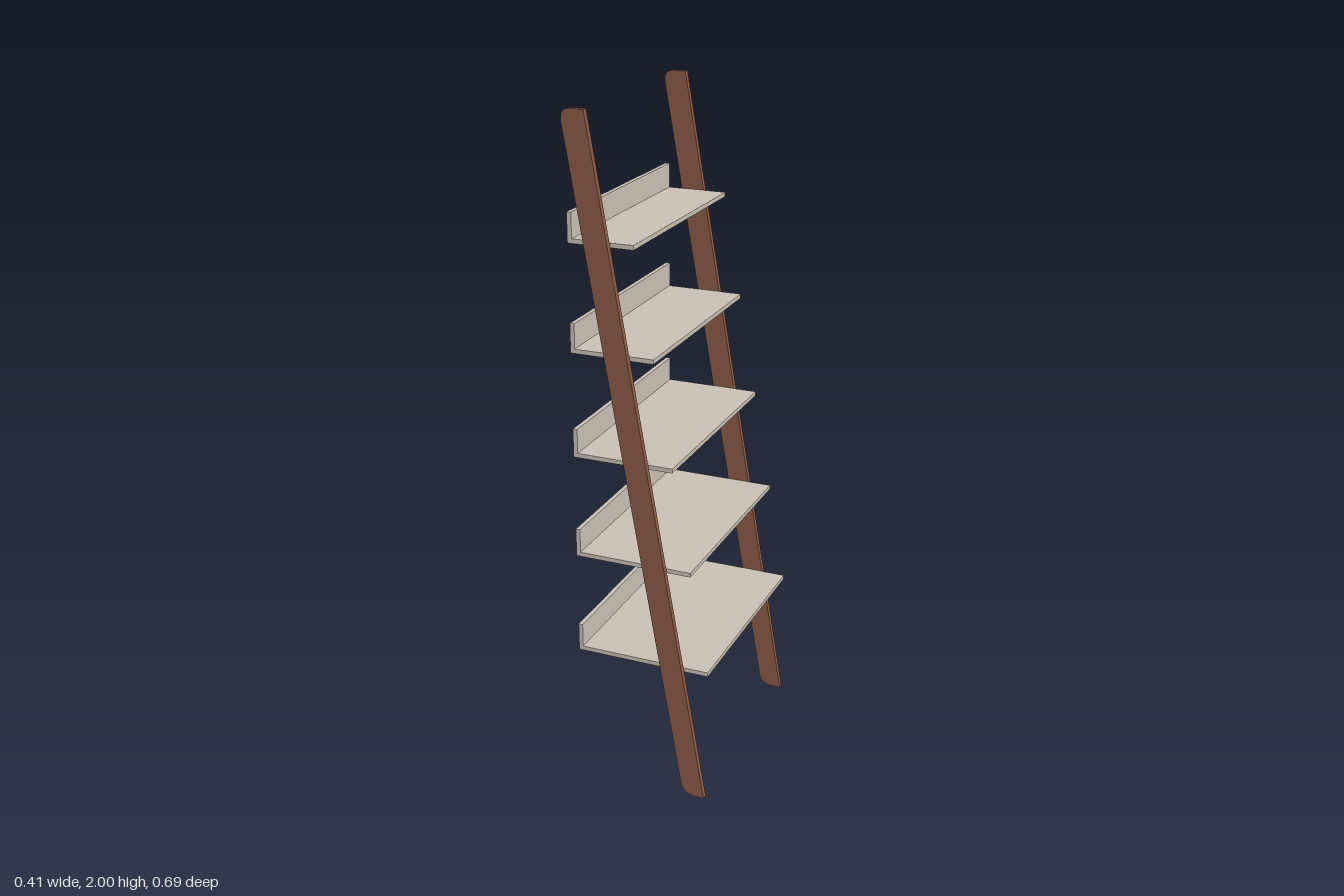
import * as THREE from 'three';

const wood = new THREE.MeshStandardMaterial({ color: 0x8a5a44 });
const board = new THREE.MeshStandardMaterial({ color: 0xc9c1b4 });

// Extrude an x-y outline along z, from z0 to z1
function slab(name, shape, z0, z1, material) {
  const geometry = new THREE.ExtrudeGeometry(shape, { depth: z1 - z0, bevelEnabled: false, curveSegments: 6 });
  geometry.translate(0, 0, z0);
  const mesh = new THREE.Mesh(geometry, material);
  mesh.name = name;
  return mesh;
}

// Leaning rail outline, level at both ends with one eased corner each
function railShape() {
  const s = new THREE.Shape();
  s.moveTo(0.2, 0);
  s.lineTo(-0.14, 2);
  s.lineTo(-0.18, 2);
  s.quadraticCurveTo(-0.21, 2, -0.205, 1.965);
  s.lineTo(0.127, 0.04);
  s.quadraticCurveTo(0.133, 0.004, 0.165, 0);
  s.closePath();
  return s;
}

// L-shaped section: flat shelf with an upright back lip
function shelfShape(front, y) {
  const back = -0.205, t = 0.013, lip = 0.085;
  return new THREE.Shape([
    [back, y], [front, y], [front, y + t], [back + t, y + t], [back + t, y + lip], [back, y + lip],
  ].map(([px, py]) => new THREE.Vector2(px, py)));
}

export function createModel() {
  const model = new THREE.Group();
  model.name = 'ladderShelf';
  const inner = 0.328, outer = 0.345;

  // Side rails
  model.add(slab('frontRail', railShape(), inner, outer, wood));
  model.add(slab('backRail', railShape(), -outer, -inner, wood));

  // Five shelves, shallower towards the top
  for (let i = 0; i < 5; i++) {
    model.add(slab(`shelf${i + 1}`, shelfShape(0.204 - i * 0.054, 0.406 + i * 0.3085), -inner, inner, board));
  }
  return model;
}
